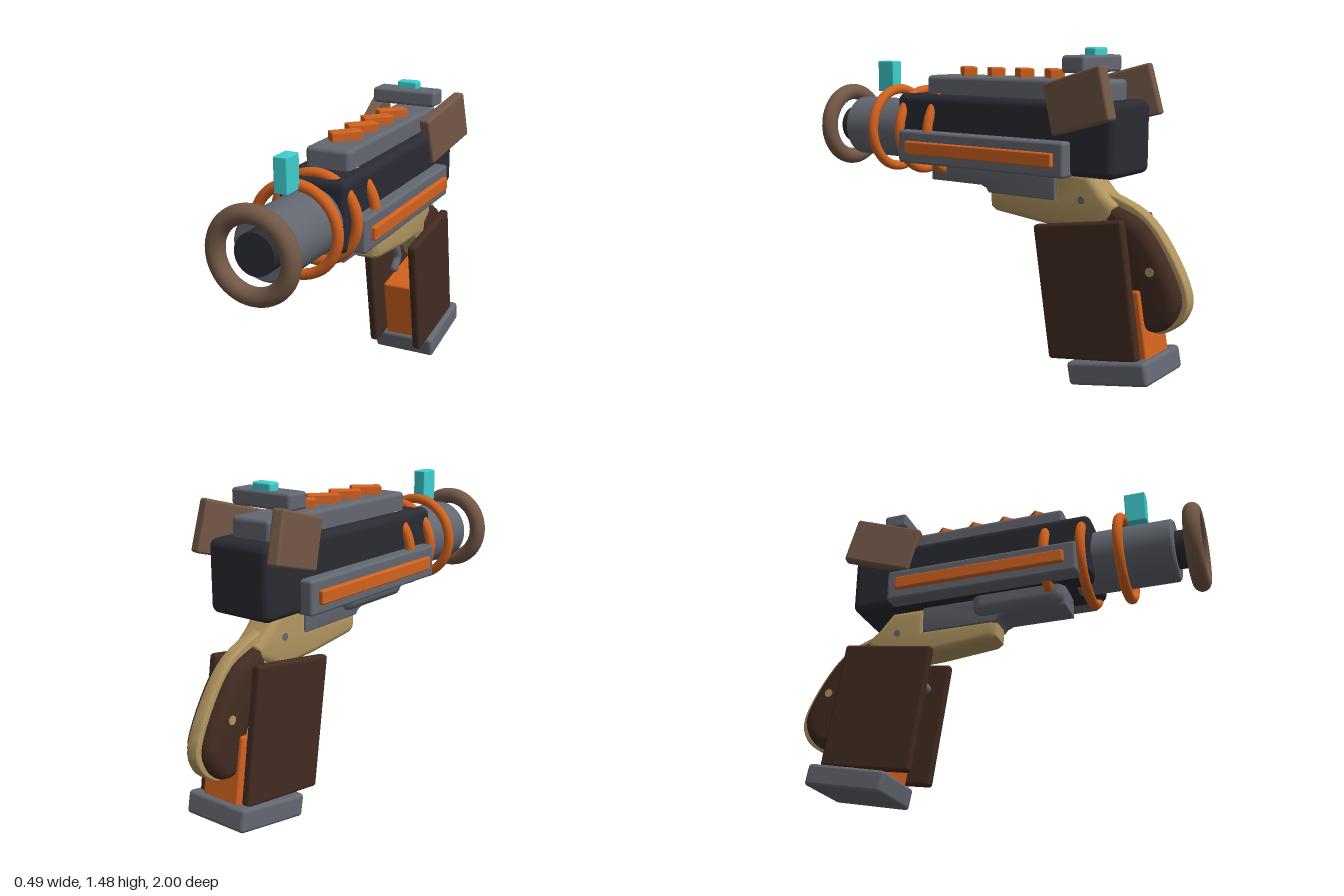
import * as THREE from 'three';
import { toCreasedNormals } from 'three/addons/utils/BufferGeometryUtils.js';
import { RoundedBoxGeometry } from 'three/addons/geometries/RoundedBoxGeometry.js';

export function createModel() {
  const model = new THREE.Group();
  model.name = 'blaster';

  const paint = (name, color) => {
    const m = new THREE.MeshStandardMaterial({ color });
    m.name = name;
    return m;
  };
  const charcoal = paint('charcoal', 0x2a2b33);
  const steel = paint('steel grey', 0x636770);
  const orange = paint('orange', 0xd2621f);
  const cyan = paint('cyan', 0x3ecfd0);
  const brown = paint('brown', 0x735847);
  const darkBrown = paint('dark brown', 0x422b21);
  const tan = paint('tan', 0xb0945f);

  const add = (name, geometry, material, x = 0, y = 0, z = 0) => {
    const mesh = new THREE.Mesh(geometry, material);
    mesh.name = name;
    mesh.position.set(x, y, z);
    model.add(mesh);
    return mesh;
  };
  // Rounded box given by its size and centre
  const box = (name, material, [w, h, d], [x, y, z], r = 0.012) =>
    add(name, new RoundedBoxGeometry(w, h, d, 3, r), material, x, y, z);
  // Round part along z
  const rod = (name, material, r, z0, z1) =>
    add(name, new THREE.CylinderGeometry(r, r, z1 - z0, 48).rotateX(Math.PI / 2), material, 0, 1.07, (z0 + z1) / 2);
  // Side profile of (z, y) points, extruded across x with rounded edges
  const profile = (name, material, points, halfWidth, bevel, smooth = false) => {
    const pts = points.map(([z, y]) => new THREE.Vector2(z, y));
    const outline = smooth ? new THREE.SplineCurve([...pts, pts[0]]).getPoints(44).slice(0, -1) : pts;
    const depth = 2 * (halfWidth - bevel);
    const geometry = new THREE.ExtrudeGeometry(new THREE.Shape(outline), {
      depth, bevelEnabled: true, bevelThickness: bevel, bevelSize: bevel, bevelOffset: -bevel, bevelSegments: 5,
    });
    geometry.translate(0, 0, -depth / 2).rotateY(-Math.PI / 2);
    return add(name, toCreasedNormals(geometry, 0.7), material);
  };

  // Receiver and upper slide
  box('body', charcoal, [0.328, 0.322, 1.205], [0, 1.093, -0.104], 0.035);
  box('slide', steel, [0.21, 0.14, 0.975], [0, 1.272, -0.133], 0.02);
  for (const z of [-0.305, -0.142, 0.019, 0.18]) {
    box('slideVent', orange, [0.142, 0.045, 0.066], [0, 1.36, z], 0.006).rotation.y = Math.PI / 4;
  }

  // Barrel, muzzle and rings
  const barrelProfile = [[0, 0.4], [0.147, 0.4], [0.147, 0.86], [0.137, 0.87], [0, 0.87]]
    .map(([r, z]) => new THREE.Vector2(r, z));
  const barrel = toCreasedNormals(new THREE.LatheGeometry(barrelProfile, 48).rotateX(Math.PI / 2), 0.6);
  add('barrel', barrel, steel, 0, 1.07, 0);
  rod('muzzleCore', charcoal, 0.09, 0.85, 0.95);
  add('muzzleRing', new THREE.TorusGeometry(0.168, 0.04, 20, 56), brown, 0, 1.07, 0.96);
  for (const z of [0.63, 0.455, 0.28]) {
    add('barrelRing', new THREE.TorusGeometry(0.193, 0.024, 16, 56), orange, 0, 1.07, z);
  }

  // Sights
  box('frontSight', cyan, [0.062, 0.152, 0.1], [0, 1.325, 0.692], 0.005);
  box('rearSight', steel, [0.322, 0.074, 0.114], [0, 1.409, -0.5], 0.014);
  box('rearSightInsert', cyan, [0.102, 0.045, 0.058], [0, 1.457, -0.518], 0.01);

  // Paired rails, rear fins and magazine cheek plates
  for (const s of [1, -1]) {
    box('sideRail', steel, [0.09, 0.155, 0.937], [s * 0.178, 1.007, -0.028], 0.014);
    box('sideRailStripe', orange, [0.04, 0.062, 0.832], [s * 0.224, 1.006, -0.032], 0.008);
    const fin = box('rearFin', brown, [0.056, 0.23, 0.335], [s * 0.18, 1.257, -0.545]);
    fin.rotation.set(0.265, -s * 0.185, 0, 'YXZ');
    box('magazinePlate', darkBrown, [0.046, 0.61, 0.453], [s * 0.122, 0.43, -0.559], 0.015).rotation.x = 0.152;
  }

  // Magazine and base
  box('magazine', orange, [0.2, 0.35, 0.36], [0, 0.262, -0.655], 0.012).rotation.x = 0.17;
  box('magazineBase', steel, [0.33, 0.105, 0.395], [0, 0.09, -0.69], 0.018).rotation.x = 0.19;

  // Lower frame
  box('barrelLug', steel, [0.2, 0.2, 0.46], [-0.02, 0.937, 0.122], 0.055);
  profile('lowerFrame', steel, [
    [0.35, 0.96], [0.35, 0.837], [0.05, 0.837], [0.02, 0.825], [0.005, 0.805], [-0.365, 0.805], [-0.365, 0.96],
  ], 0.082, 0.01);
  profile('gripFrame', tan, [
    [0.01, 0.83], [0.005, 0.74], [-0.025, 0.72], [-0.3, 0.69], [-0.52, 0.68],
    [-0.66, 0.76], [-0.66, 0.81], [-0.6, 0.86], [-0.53, 0.94], [-0.35, 0.94], [-0.35, 0.83],
  ], 0.076, 0.035);
  profile('gripNeck', tan, [
    [-0.42, 0.74], [-0.52, 0.65], [-0.61, 0.53], [-0.7, 0.53], [-0.74, 0.74], [-0.65, 0.81],
  ], 0.058, 0.025);

  // Curved grip with a thin backbone
  profile('grip', darkBrown, [
    [-0.64, 0.81], [-0.78, 0.755], [-0.885, 0.63], [-0.97, 0.46], [-0.955, 0.36], [-0.89, 0.29],
    [-0.81, 0.285], [-0.76, 0.34], [-0.735, 0.45], [-0.68, 0.56], [-0.6, 0.67],
  ], 0.083, 0.05, true);
  profile('gripBackbone', tan, [
    [-0.6, 0.86], [-0.78, 0.785], [-0.905, 0.645], [-0.997, 0.46], [-0.975, 0.345], [-0.89, 0.277],
    [-0.81, 0.28], [-0.755, 0.34], [-0.725, 0.45], [-0.67, 0.56], [-0.58, 0.67],
  ], 0.03, 0.008, true);

  // Screws through grip and frame
  const pin = (name, material, r, length, y, z) =>
    add(name, new THREE.CylinderGeometry(r, r, length, 16).rotateZ(Math.PI / 2), material, 0, y, z);
  pin('gripScrew', tan, 0.02, 0.172, 0.55, -0.845);
  pin('frameScrew', steel, 0.017, 0.158, 0.82, -0.5);

  // Trigger
  const triggerPath = new THREE.CatmullRomCurve3([[0.73, -0.4], [0.66, -0.385], [0.59, -0.4], [0.54, -0.365]]
    .map(([y, z]) => new THREE.Vector3(0, y, z)));
  add('trigger', new THREE.TubeGeometry(triggerPath, 16, 0.021, 10), steel);
  add('triggerTip', new THREE.SphereGeometry(0.021, 12, 8), steel, 0, 0.54, -0.365);

  return model;
}
